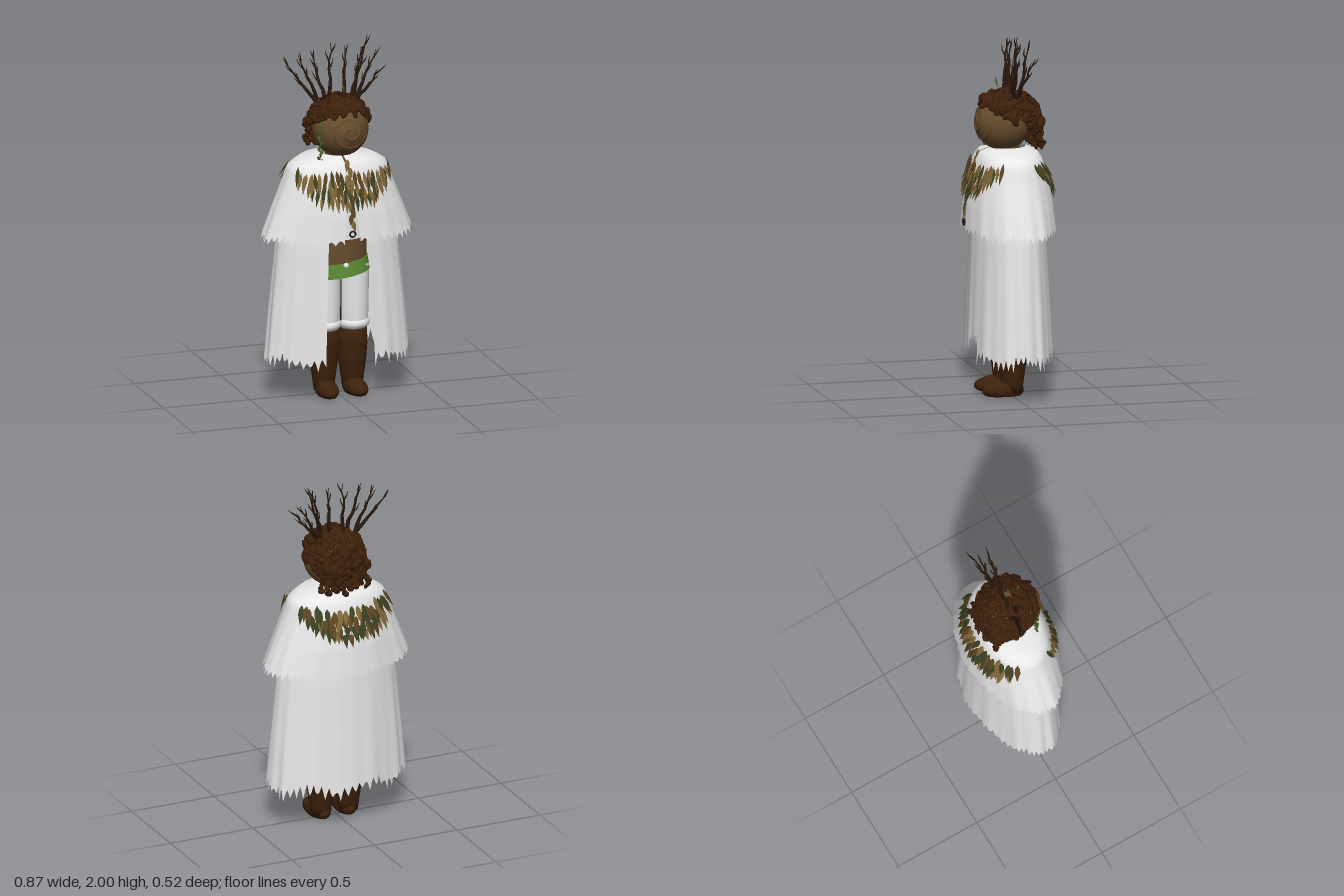
import * as THREE from 'three';
import { mergeGeometries } from 'three/addons/utils/BufferGeometryUtils.js';

const mat = (name, color, side = THREE.FrontSide) => {
  const m = new THREE.MeshStandardMaterial({ color, side });
  m.name = name;
  return m;
};

export function createModel() {
  const model = new THREE.Group();
  const white = mat('white cloth', 0xf0f0f0, THREE.DoubleSide);
  const fur = mat('dark brown', 0x3c210b);
  const hairMat = mat('hair brown', 0x3d200b);
  const wood = mat('twig brown', 0x2b190c);
  const skin = mat('carved wood', 0x664c2d);
  const tan = mat('tan leaf', 0x7f6538);
  const olive = mat('olive leaf', 0x3b4021);
  const russet = mat('russet leaf', 0x5c4420);
  const green = mat('belt green', 0x5f8f35);
  const vineGreen = mat('vine green', 0x4a6428);

  let seed = 7;
  const rand = () => ((seed = (seed * 16807) % 2147483647) / 2147483647);
  const V = (x, y, z) => new THREE.Vector3(x, y, z);
  const add = (name, geo, material, x = 0, y = 0, z = 0) => {
    const m = new THREE.Mesh(geo, material);
    m.name = name;
    m.position.set(x, y, z);
    model.add(m);
    return m;
  };
  const lathe = (pts, n = 24) => new THREE.LatheGeometry(pts.map(p => new THREE.Vector2(...p)), n);

  // Elliptical cross-section [rx, rz] of a cape at a given height
  const section = (rows, y) => {
    let i = 0;
    while (i < rows.length - 2 && y < rows[i + 1][0]) i++;
    const [a, b] = [rows[i], rows[i + 1]];
    const k = THREE.MathUtils.clamp((a[0] - y) / (a[0] - b[0]), 0, 1.4);
    return [a[1] + (b[1] - a[1]) * k, a[2] + (b[2] - a[2]) * k];
  };

  // Open cape with soft folds and a torn hem; gaps are the x of its two front edges
  const cape = (name, rows, gapLeft, gapRight, tear, fold) => {
    const cols = 200, steps = 22, pos = [], idx = [];
    const top = rows[0][0], hem = rows[rows.length - 1][0];
    const tears = Array.from({ length: cols + 1 }, (_, i) =>
      (i % 4 === 0 ? -1 : i % 4 === 2 ? 0.8 : 0) * tear * (0.15 + 0.85 * rand()) + tear * 0.3 * Math.sin(i * 0.19));
    for (let j = 0; j <= steps; j++) {
      const v = j / steps;
      for (let i = 0; i <= cols; i++) {
        const y = top + (hem - top) * v + tears[i] * v ** 12;
        const [rx, rz] = section(rows, y);
        const a = Math.asin(Math.min(1, gapLeft(v) / rx));
        const b = Math.PI * 2 - Math.asin(Math.min(1, gapRight(v) / rx));
        const t = a + (b - a) * i / cols;
        const f = 1 + fold * v * (Math.sin(t * 13) + 0.6 * Math.sin(t * 22 + 1));
        const pinch = t > Math.PI ? 1 - 0.09 * v * Math.sin(2 * t) ** 2 : 1;
        pos.push(rx * f * Math.sin(t), y, rz * f * pinch * Math.cos(t));
        if (i < cols && j < steps) {
          const p = j * (cols + 1) + i, q = p + cols + 1;
          idx.push(p, q, p + 1, p + 1, q, q + 1);
        }
      }
    }
    const g = new THREE.BufferGeometry();
    g.setAttribute('position', new THREE.Float32BufferAttribute(pos, 3));
    g.setIndex(idx);
    g.computeVertexNormals();
    return add(name, g, white);
  };
  const shoulder = [[1.375, 0.09, 0.1], [1.365, 0.165, 0.145], [1.35, 0.22, 0.162], [1.31, 0.28, 0.185],
    [1.21, 0.315, 0.217], [1.07, 0.37, 0.24], [0.925, 0.425, 0.254]];
  const long = [[1.1, 0.3, 0.17], [0.9, 0.345, 0.2], [0.5, 0.385, 0.22], [0.23, 0.408, 0.233]];
  cape('shoulderCape', shoulder, v => 0.005 + 0.05 * v, v => 0.005 + 0.03 * v, 0.026, 0.008);
  cape('longCape', long, v => 0.11 + 0.045 * v, v => 0.1 + 0.03 * v, 0.05, 0.012);

  // Pointed leaf, hung tip down
  const leafBase = lathe([[0, -1], [0.45, -0.5], [0.9, 0.05], [0.75, 0.55], [0, 1]], 6);
  const leaf = (p, w, len, rotY, tilt, roll) => {
    const m = new THREE.Matrix4().compose(p,
      new THREE.Quaternion().setFromEuler(new THREE.Euler(tilt, rotY, roll, 'YXZ')),
      V(w, len, 0.005));
    return leafBase.clone().applyMatrix4(m);
  };

  // Leaf collar on the chest and the back
  const leafMats = [tan, russet, olive, tan, olive];
  for (const side of ['front', 'back']) {
    const bins = leafMats.map(() => []);
    const back = side === 'back';
    for (let r = 0; r < 4; r++) {
      const n = (back ? 19 : 21) - r * 3, reach = 1.08 - r * 0.2;
      for (let i = 0; i < n; i++) {
        const s = (i + 0.5 + (rand() - 0.5) * 0.5) / n * 2 - 1;
        const t = s * reach + (back ? Math.PI : 0);
        const y = 1.25 - r * 0.037 + 0.015 * s * s + (rand() - 0.5) * 0.025;
        const [rx, rz] = section(shoulder, y);
        const out = 1.015 + 0.01 * (3 - r) + 0.01 * rand();
        const x = rx * out * Math.sin(t), z = rz * out * Math.cos(t);
        bins[Math.floor(rand() * 5)].push(leaf(V(x, y, z), back ? 0.02 : 0.014, 0.045 + 0.018 * rand(),
          Math.atan2(x / rx ** 2, z / rz ** 2), (back ? -0.42 : -0.25) - 0.2 * rand(), (rand() - 0.5) * 0.3));
      }
    }
    bins.forEach((b, i) => b.length && add(side + 'Leaves' + (i + 1), mergeGeometries(b), leafMats[i]));
  }

  // Hanging leaf strap and ring at the cape opening
  const strap = [];
  for (let i = 0; i < 10; i++) {
    const y = 1.335 - i * 0.036;
    strap.push(leaf(V(0.01 + 0.007 * (i % 2 ? 1 : -1), y, section(shoulder, y)[1] + 0.003),
      0.017, 0.035, 0, -0.2, i % 2 ? 0.2 : -0.2));
  }
  add('strapLeavesLight', mergeGeometries(strap.filter((_, i) => i < 3 || i % 3 === 0)), tan);
  add('strapLeavesDark', mergeGeometries(strap.filter((_, i) => i >= 3 && i % 3)), russet);
  add('clasp', new THREE.TorusGeometry(0.016, 0.005, 8, 20), wood, 0.01, 0.965, 0.25);

  // Body: jacket, tunic, tilted belt
  const oval = (name, r1, r2, y0, y1, material, depth = 0.8) => {
    const m = add(name, new THREE.CylinderGeometry(r2, r1, y1 - y0, 32), material, 0.01, (y0 + y1) / 2, 0);
    m.scale.z = depth;
    return m;
  };
  oval('jacket', 0.17, 0.15, 0.9, 1.33, white);
  oval('tunic', 0.16, 0.158, 0.735, 0.92, skin);
  oval('belt', 0.172, 0.168, 0.685, 0.765, green).rotation.z = 0.11;
  add('buckle', new THREE.SphereGeometry(0.015, 12, 8), white, 0.01, 0.755, 0.138);
  add('neck', new THREE.CylinderGeometry(0.07, 0.09, 0.12, 20), skin, 0.01, 1.34, 0.01);

  // Legs: trousers, fleece cuffs, boots
  for (const s of [-1, 1]) {
    const side = s > 0 ? 'left' : 'right', x = 0.01 + s * 0.082;
    add(side + 'Trouser', lathe([[0.084, 0.38], [0.089, 0.5], [0.09, 0.74]]), white, x).scale.z = 1.15;
    const cuff = add(side + 'Cuff', new THREE.TorusGeometry(0.062, 0.033, 12, 28), white, x, 0.4, 0);
    cuff.rotation.x = Math.PI / 2;
    cuff.scale.y = 1.15;
    add(side + 'BootShaft', lathe([[0, 0.01], [0.055, 0.02], [0.062, 0.07], [0.066, 0.1], [0.077, 0.18],
      [0.084, 0.28], [0.081, 0.37], [0, 0.39]]), fur, x, 0, -0.002);
    const foot = new THREE.SphereGeometry(1, 24, 16);
    const p = foot.attributes.position;
    for (let i = 0; i < p.count; i++) {
      const fz = p.getZ(i);
      p.setXYZ(i, p.getX(i) * 0.061, Math.max(0, 0.032 + p.getY(i) * (0.055 - 0.008 * fz)), fz * 0.12);
    }
    foot.computeVertexNormals();
    add(side + 'Foot', foot, fur, x, 0, 0.05).rotation.y = s * 0.06;
  }
  add('trouserSeam', new THREE.BoxGeometry(0.005, 0.32, 0.008), wood, 0.01, 0.54, 0.044);

  // Head with a broad spiral carved across the face
  const C = V(0.012, 1.512, 0.03), R = 0.155;
  add('head', new THREE.SphereGeometry(R, 40, 28), skin, C.x, C.y, C.z);
  const spiral = [];
  for (let i = 0; i <= 50; i++) {
    const a = i / 50 * Math.PI * 3.8 + 0.5, r = 0.008 + 0.092 * i / 50;
    const x = 0.01 + r * Math.cos(a), y = 0.012 + r * Math.sin(a);
    spiral.push(V(x, y, Math.sqrt((R - 0.013) ** 2 - x * x - y * y)));
  }
  add('faceSpiral', new THREE.TubeGeometry(new THREE.CatmullRomCurve3(spiral), 140, 0.0175, 10), skin, C.x, C.y, C.z);

  // Curly hair: flat overlapping curls over the crown, with locks down the back
  const tufts = [];
  const Z = V(0, 0, 1);
  const tuft = (p, normal, r) => {
    const g = new THREE.SphereGeometry(r, 9, 7);
    g.scale(0.8 + 0.7 * rand(), 0.8 + 0.7 * rand(), 0.45 + 0.2 * rand()).rotateZ(rand() * 3);
    g.rotateX((rand() - 0.5) * 1.3).rotateY((rand() - 0.5) * 1.3);
    g.applyQuaternion(new THREE.Quaternion().setFromUnitVectors(Z, normal)).translate(p.x, p.y, p.z);
    tufts.push(g);
  };
  for (let i = 0; i < 520; i++) {
    const y = 1 - 2 * (i + 0.5) / 520, q = Math.sqrt(1 - y * y), a = i * 2.39996;
    const d = V(q * Math.cos(a), y, q * Math.sin(a));
    if (d.y < (d.z > 0 ? 0.32 + 0.42 * d.z : 0.32 + 0.75 * d.z) + (rand() - 0.5) * 0.22) continue;
    if (Math.hypot(d.x - 0.12, d.z + 0.15) < 0.2 && d.y > 0) continue;
    const clump = 0.05 * Math.sin(d.x * 11) * Math.sin(d.y * 10 + 1) * Math.cos(d.z * 11);
    const lift = R * (1.03 + 0.07 * rand() + clump) + Math.max(0, -d.z) * 0.04;
    tuft(d.clone().multiplyScalar(lift).add(C), d, 0.014 + 0.014 * rand());
  }
  for (let k = 0; k < 18; k++) {
    const inner = k % 2, x = -0.115 + k * 0.0145, end = 1.355 + rand() * 0.06 + inner * 0.02;
    for (let y = 1.53; y > end; y -= 0.014) {
      const f = (1.53 - y) / 0.17;
      tuft(V(x + 0.012 * Math.sin(y * 70 + k), y,
        -0.145 - 0.03 * f + inner * 0.035 + 1.2 * (x - 0.01) ** 2 + 0.014 * Math.cos(y * 60 + k * 2)),
      V(0, 0, -1), 0.021 - 0.007 * f);
    }
  }
  add('hair', mergeGeometries(tufts), hairMat);

  // Branch crown: tapered limbs with side shoots
  const limbs = [];
  const limb = (a, b, r1, r2) => {
    const d = b.clone().sub(a);
    const g = new THREE.CylinderGeometry(r2, r1, d.length() * 1.04, 6);
    g.applyQuaternion(new THREE.Quaternion().setFromUnitVectors(V(0, 1, 0), d.clone().normalize()));
    const m = a.clone().add(b).multiplyScalar(0.5);
    limbs.push(g.translate(m.x, m.y, m.z));
  };
  const branches = [ // base x, base y, base z, tip x, tip y, tip z
    [-0.11, 1.66, -0.02, -0.278, 1.9, -0.09], [-0.1, 1.67, -0.04, -0.205, 1.925, -0.05],
    [-0.07, 1.68, 0, -0.14, 1.945, -0.03], [-0.03, 1.68, -0.03, -0.015, 1.975, -0.06],
    [0.05, 1.68, -0.02, 0.062, 1.955, -0.04], [0.09, 1.68, 0, 0.15, 1.95, -0.02],
    [0.11, 1.67, -0.04, 0.203, 1.995, -0.07], [0.12, 1.66, -0.02, 0.257, 1.9, -0.09],
    [0.12, 1.66, 0, 0.25, 1.82, 0.02]];
  for (const [x, y, z, tx, ty, tz] of branches) {
    const a = V(x, y, z), b = V(tx, ty, tz), n = 6;
    const along = b.clone().sub(a).normalize();
    let prev = a;
    for (let i = 1; i <= n; i++) {
      const next = a.clone().lerp(b, i / n);
      if (i < n) next.add(V((rand() - 0.5) * 0.014, 0, (rand() - 0.5) * 0.016));
      limb(prev, next, 0.0105 * (1 - (i - 1) / n) + 0.0015, 0.0105 * (1 - i / n) + 0.0015);
      if (i > 1 && i < n) {
        const s = i % 2 ? 1 : -1;
        const mid = next.clone().addScaledVector(along, 0.03).add(V(s * 0.012, 0, (rand() - 0.5) * 0.03));
        limb(next, mid, 0.005, 0.0035);
        limb(mid, mid.clone().addScaledVector(along, 0.02 + 0.02 * rand()).add(V(s * 0.006, 0, 0)), 0.0035, 0.001);
      }
      prev = next;
    }
  }
  add('branchCrown', mergeGeometries(limbs), wood);

  // Trailing vine beside the face, and a sprig in the hair
  const vine = [];
  for (let i = 0; i < 14; i++) {
    vine.push(leaf(V(-0.126 + 0.008 * Math.sin(i * 2), 1.56 - i * 0.016, 0.1 + 0.006 * Math.cos(i * 3)),
      0.011, 0.019, i * 1.3, -0.3, i % 2 ? 0.6 : -0.6));
  }
  vine.push(leaf(V(0.02, 1.735, 0.068), 0.006, 0.035, 0.6, 0.1, 0.2));
  add('vine', mergeGeometries(vine), vineGreen);
  return model;
}
